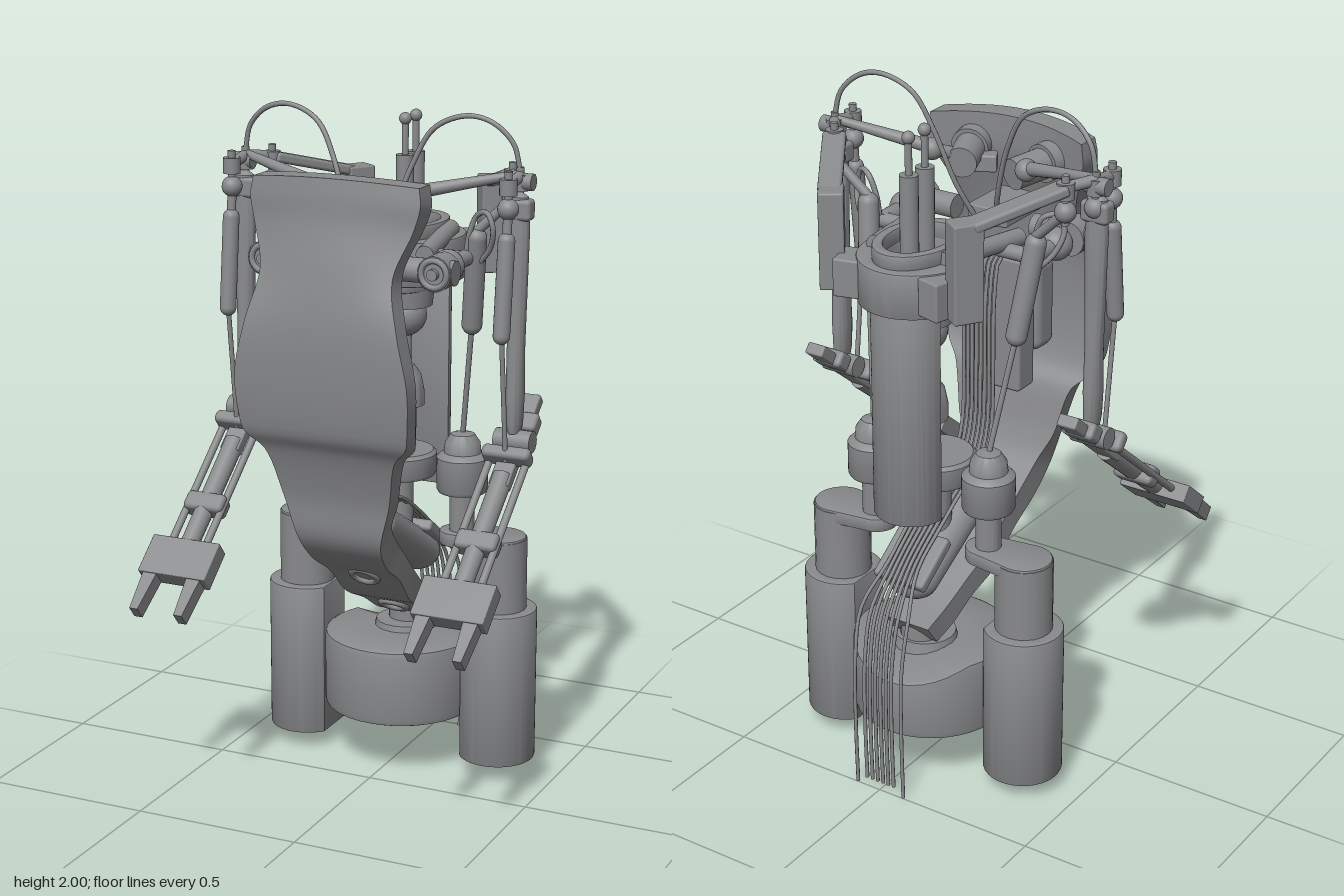
import * as THREE from 'three';
import { toCreasedNormals } from 'three/addons/utils/BufferGeometryUtils.js';
import { RoundedBoxGeometry } from 'three/addons/geometries/RoundedBoxGeometry.js';

const mat = new THREE.MeshStandardMaterial({ color: 0x898a8c });
const V = (x, y, z) => new THREE.Vector3(x, y, z);

export function createModel() {
  const root = new THREE.Group();
  root.name = 'robot';

  // ---- helpers ----
  const add = (name, geo, pos = [0, 0, 0], parent = root) => {
    const m = new THREE.Mesh(geo, mat);
    m.name = name;
    m.position.set(...pos);
    parent.add(m);
    return m;
  };
  const between = (name, geo, a, b, parent = root) => {
    const p = V(...a), q = V(...b);
    const m = add(name, geo, p.clone().lerp(q, 0.5).toArray(), parent);
    m.quaternion.setFromUnitVectors(V(0, 1, 0), q.sub(p).normalize());
    return m;
  };
  const dist = (a, b) => V(...a).distanceTo(V(...b));
  const rod = (name, a, b, ra, rb = ra, parent = root) =>
    between(name, new THREE.CylinderGeometry(rb, ra, dist(a, b), 20), a, b, parent);
  const capsule = (name, a, b, r) => between(name, new THREE.CapsuleGeometry(r, dist(a, b), 8, 20), a, b);
  const ball = (name, pos, r) => add(name, new THREE.SphereGeometry(r, 20, 14), pos);
  const box = (name, size, pos, parent = root, r = 0.006) =>
    add(name, new RoundedBoxGeometry(...size, 2, r), pos, parent);
  const cable = (name, pts, r) =>
    add(name, new THREE.TubeGeometry(new THREE.CatmullRomCurve3(pts.map(p => V(...p))), 48, r, 8));
  const lathe = (name, pts, pos) => add(name,
    toCreasedNormals(new THREE.LatheGeometry(pts.map(p => new THREE.Vector2(...p)), 40), 0.6), pos);
  const ellipse = (rx, rz) => new THREE.Shape().absellipse(0, 0, rx, rz, 0, Math.PI * 2, false, 0);
  const extrudeY = (name, shape, y0, y1, x, z, bevel = 0.006) => {
    const geo = new THREE.ExtrudeGeometry(shape, { depth: y1 - y0 - 2 * bevel, curveSegments: 24,
      bevelSize: bevel, bevelThickness: bevel, bevelOffset: -bevel, bevelSegments: 2 });
    geo.rotateX(-Math.PI / 2);
    return add(name, toCreasedNormals(geo, 0.6), [x, y0 + bevel, z]);
  };

  // ---- front shell: lofted sections, running down into the tail strip ----
  // half width, front y, front z, back y, back z, backward bow of the edges
  const stations = [
    [.25, 1.85, .272, 1.85, .2, .05], [.256, 1.8, .278, 1.79, .2, .05], [.24, 1.73, .283, 1.73, .205, .045],
    [.2, 1.6, .308, 1.6, .24, .025], [.23, 1.45, .328, 1.45, .262, .005], [.262, 1.3, .326, 1.3, .265, 0],
    [.258, 1.18, .313, 1.18, .255, 0], [.248, 1.125, .3, 1.11, .235, 0], [.2, 1.07, .268, 1.06, .2, 0],
    [.165, .93, .225, .92, .165, 0], [.13, .8, .205, .84, .13, 0], [.118, .72, .14, .77, .06, 0],
    [.112, .65, .035, .71, -.01, 0], [.104, .56, -.055, .63, -.1, 0], [.09, .51, -.15, .575, -.18, 0],
    [.08, .455, -.235, .525, -.265, 0], [.075, .43, -.31, .49, -.355, 0]];
  const frontCurve = new THREE.CatmullRomCurve3(stations.map(s => V(s[0], s[1], s[2])));
  const backCurve = new THREE.CatmullRomCurve3(stations.map(s => V(s[5], s[3], s[4])));
  const N = 96, M = 15, R = 2 * M, pos = [], idx = [];
  for (let i = 0; i <= N; i++) {
    const f = frontCurve.getPoint(i / N), b = backCurve.getPoint(i / N);
    for (let j = 0; j < R; j++) {
      const front = j < M, u = (front ? j : R - 1 - j) / (M - 1) * 2 - 1, p = front ? f : b;
      pos.push(u * f.x, p.y - b.x * .35 * u * u, p.z - b.x * u * u);
    }
  }
  for (let i = 0; i < N; i++) for (let j = 0; j < R; j++) {
    const a = i * R + j, b = i * R + (j + 1) % R, c = b + R, d = a + R;
    idx.push(a, d, c, a, c, b);
  }
  for (let j = 0; j < M - 1; j++) {
    const q = [j, j + 1, R - 2 - j, R - 1 - j], e = N * R;
    idx.push(q[0], q[1], q[2], q[0], q[2], q[3]);
    idx.push(e + q[0], e + q[2], e + q[1], e + q[0], e + q[3], e + q[2]);
  }
  const shell = new THREE.BufferGeometry();
  shell.setAttribute('position', new THREE.Float32BufferAttribute(pos, 3));
  shell.setIndex(idx);
  add('frontShell', toCreasedNormals(shell, 0.7));
  [[.65, .035, .8], [.495, -.17, 1]].forEach(([y, z, tilt]) => {
    add('stripRing', new THREE.TorusGeometry(.038, .011, 10, 28), [0, y, z]).rotation.x = tilt;
  });

  // ---- torso box behind the shell ----
  box('shellLiner', [.22, .28, .1], [0, 1.305, .21], root, .03);
  box('torsoBox', [.2, .41, .085], [0, 1.275, .12], root, .012);
  box('torsoBridge', [.13, .05, .2], [0, 1.6, .16]);

  // ---- hip drum, bored from below and sloped at the back ----
  const hip = lathe('hipDrum', [[.11, .36], [.11, .17], [.215, .17], [.226, .175], [.23, .19], [.23, .385],
    [.226, .4], [.215, .407], [.1, .407], [0, .407]], [0, 0, -.225]);
  const hp = hip.geometry.attributes.position;
  for (let i = 0; i < hp.count; i++) {
    const z = hp.getZ(i);
    if (z < -.11 && hp.getY(i) > .3) hp.setY(i, Math.min(hp.getY(i), .4 + (z + .11) * .5));
  }
  rod('drumCeiling', [0, .35, -.225], [0, .37, -.225], .115);
  rod('tailMount', [0, .38, -.26], [0, .425, -.26], .1, .09);
  rod('tailMountNeck', [0, .42, -.28], [0, .47, -.28], .06);

  // ---- tail and trailing cables ----
  capsule('tailCapsule', [0, .8, -.01], [0, .625, -.32], .062).scale.x = 1.3;
  box('cableSaddle', [.17, .035, .17], [0, .685, -.32], root, .01).rotation.x = -.6;
  for (let i = 0; i < 8; i++) {
    const u = i / 3.5 - 1, x = u * .05, e = (i === 0 || i === 7) ? 0 : .025;
    const xe = e ? u * .065 : u * .08;
    cable('trailingCable', [[x, 1.46, .13], [x, 1.49, .1], [x, 1.485, .05], [x, 1.38, .025], [x, 1.15, .02], [x, .97, .01],
      [x, .885, -.03], [x, .845, -.13], [x, .77, -.25], [x, .68, -.37], [xe, .57, -.46], [xe, .42, -.495],
      [xe, .2, -.5], [xe, e, -.495]], .0055);
  }

  // ---- back column, collar and cup ----
  const back = new THREE.Shape().absellipse(0, 0, .105, .1, 0, Math.PI, false, 0);
  extrudeY('backColumn', back, .84, 1.5, 0, -.325);
  const collar = ellipse(.165, .183);
  collar.holes.push(ellipse(.08, .12));
  extrudeY('collar', collar, 1.48, 1.61, 0, -.27);
  const rim = ellipse(.11, .155);
  rim.holes.push(ellipse(.082, .12));
  extrudeY('cupRim', rim, 1.6, 1.65, 0, -.272);
  extrudeY('cupFloor', ellipse(.09, .13), 1.45, 1.5, 0, -.272);
  [-.24, -.315].forEach(z => {
    rod('mastSleeve', [0, 1.46, z], [0, 1.84, z], .026);
    rod('mast', [0, 1.84, z], [0, 1.94, z], .01);
    ball('mastTip', [0, 1.943, z], .018);
  });

  // ---- inner spine ----
  rod('spineHub', [0, 1.4, -.245], [0, 1.49, -.245], .08, .09);
  ball('spineBall', [0, 1.37, -.245], .064);
  rod('spineNeck', [0, 1.2, -.24], [0, 1.34, -.245], .02);
  lathe('spineDisc', [[0, .9], [.11, .9], [.115, .91], [.115, .965], [.105, .975], [0, .975]], [0, 0, -.197]);
  lathe('spineJoint', [[.035, .96], [.037, 1.09], [.06, 1.1], [.06, 1.14], [.05, 1.19], [.03, 1.22], [0, 1.225]], [0, 0, -.24]);
  rod('spineRoot', [0, .7, -.2], [0, .9, -.2], .045);

  // ---- paired parts ----
  for (const s of [-1, 1]) {
    // leg
    const flat = .672;
    const tube = new THREE.Shape().absarc(0, 0, .115, flat, Math.PI * 2 - flat, false);
    tube.closePath();
    tube.holes.push(new THREE.Path().absarc(0, 0, .06, 0, Math.PI * 2, true));
    const leg = extrudeY('legTube', tube, .05, .52, s * .315, -.225);
    if (s > 0) leg.rotation.y = Math.PI;
    rod('legPost', [s * .315, .45, -.225], [s * .315, .735, -.225], .083);
    const link = new THREE.Shape().absarc(.06, 0, .08, -Math.PI / 2, Math.PI / 2, false);
    link.absarc(-.065, 0, .062, Math.PI / 2, Math.PI * 1.5, false);
    link.closePath();
    const bridge = extrudeY('legBridge', link, .7, .742, s * .255, -.225);
    if (s < 0) bridge.rotation.y = Math.PI;
    lathe('legJoint', [[0, .72], [.037, .72], [.037, .85], [.07, .86], [.076, .87], [.076, .965], [.066, .975],
      [.055, .98], [.052, 1.01], [.035, 1.035], [0, 1.045]], [s * .195, 0, -.225]);

    // shoulder box and flat beam
    box('collarWing', [.075, .11, .1], [s * .145, 1.55, -.38]).rotation.y = s * .25;
    box('shoulderBox', [.07, .28, .085], [s * .215, 1.635, -.372]).rotation.y = s * .6;
    box('shoulderBeam', [.066, .03, .28], [s * .3, 1.792, -.25], root, .01).lookAt(s * .375, 1.825, -.135);
    rod('shoulderCross', [s * .375, 1.825, -.135], [s * .425, 1.835, -.065], .016);
    rod('shoulderCross', [s * .425, 1.835, -.065], [s * .425, 1.82, .02], .016);
    [[.375, -.135], [.425, -.065], [.425, .02]].forEach(([x, z]) => {
      rod('jointCap', [s * x, 1.795, z], [s * x, 1.84, z], .025);
      rod('jointStud', [s * x, 1.72, z], [s * x, 1.86, z], .011);
      ball('jointBall', [s * x, 1.757, z], .03);
    });
    rod('shoulderPin', [s * .40, 1.82, -.065], [s * .465, 1.82, -.065], .024);
    box('armYoke', [.085, .06, .05], [s * .425, 1.745, -.055], root, .012);

    // link from shoulder to shell motor
    rod('shoulderLink', [s * .425, 1.84, -.065], [s * .155, 1.785, .02], .012, .02);
    ball('linkBall', [s * .155, 1.78, .02], .032);
    rod('motorNeck', [s * .155, 1.78, .02], [s * .1, 1.75, .09], .018);
    rod('motorBody', [s * .085, 1.74, .06], [s * .12, 1.75, .16], .045);
    rod('motorCap', [s * .12, 1.75, .155], [s * .135, 1.755, .22], .056);
    box('motorBracket', [.08, .05, .05], [s * .07, 1.72, .15]).rotation.y = s * .5;

    // chest pivot
    rod('pivotBar', [s * .11, 1.62, -.32], [s * .16, 1.6, -.02], .026);
    rod('pivotCross', [s * .14, 1.585, -.09], [s * .255, 1.585, -.09], .022);
    rod('pivotShaft', [s * .25, 1.585, -.1], [s * .25, 1.585, .08], .024);
    ball('pivotBulb', [s * .25, 1.585, .025], .047);
    rod('pivotDrum', [s * .26, 1.585, .07], [s * .26, 1.585, .145], .05);
    rod('pivotAxle', [s * .13, 1.585, .107], [s * .31, 1.585, .107], .035);
    add('pivotRing', new THREE.TorusGeometry(.038, .009, 10, 24), [s * .26, 1.585, .144]);
    rod('pivotKnob', [s * .26, 1.585, .14], [s * .26, 1.585, .16], .016);

    // muscle piston down to the leg joint
    rod('muscleStem', [s * .375, 1.755, -.135], [s * .275, 1.66, -.12], .014);
    capsule('muscle', [s * .275, 1.64, -.12], [s * .245, 1.38, -.165], .03);
    rod('muscleRod', [s * .245, 1.38, -.165], [s * .195, 1.03, -.225], .008);

    // upper arm: broad sideways at the top, broad fore and aft at the elbow
    const ax = s * .425;
    const bone = lathe('upperArmBone', [[0, 1.11], [.03, 1.11], [.036, 1.14], [.036, 1.22], [.028, 1.36], [.026, 1.55],
      [.025, 1.68], [.02, 1.78], [0, 1.8]], [ax, 0, -.055]);
    const bp = bone.geometry.attributes.position;
    for (let i = 0; i < bp.count; i++)
      bp.setX(i, bp.getX(i) * THREE.MathUtils.mapLinear(bp.getY(i), 1.15, 1.7, .6, 1.4));
    bone.geometry.computeVertexNormals();
    bone.geometry = toCreasedNormals(bone.geometry, 0.6);
    rod('armPistonStem', [ax, 1.76, .02], [ax, 1.69, .025], .013);
    capsule('armPiston', [ax, 1.67, .028], [ax, 1.41, .055], .024);
    rod('armPistonRod', [ax, 1.42, .055], [ax, 1.04, .01], .007);
    rod('elbowPin', [ax - .055, 1.085, -.055], [ax + .055, 1.085, -.055], .032);

    // forearm, built along local +z
    const arm = new THREE.Group();
    arm.name = 'forearm';
    arm.position.set(ax, 1.18, -.19);
    arm.rotation.x = .69;
    root.add(arm);
    box('forearmBar', [.06, .035, .32], [0, 0, .16], arm);
    rod('forearmCore', [0, 0, .28], [0, 0, .65], .03, .027, arm);
    box('forearmYoke', [.145, .06, .04], [0, .022, .225], arm, .015);
    box('forearmClamp', [.125, .06, .06], [0, 0, .51], arm, .015);
    box('elbowBlock', [.1, .05, .06], [0, .005, .1], arm, .012);
    for (const k of [-1, 1]) {
      rod('forearmRod', [k * .055, .005, .22], [k * .055, .005, .65], .011, .011, arm);
      // tapered finger
      const finger = new THREE.Shape([[-.022, 0], [.022, 0], [.012, .125], [-.014, .125]]
        .map(([x, y]) => new THREE.Vector2(-k * x, y)));
      const fg = new THREE.ExtrudeGeometry(finger, { depth: .044, bevelEnabled: false });
      fg.rotateX(Math.PI / 2).translate(0, .022, 0);
      add('finger', fg, [k * .07, 0, .77], arm);
    }
    box('handBlock', [.215, .054, .126], [0, 0, .71], arm, .003);

    // loose cables
    cable('archCable', [[s * .425, 1.85, -.065], [s * .405, 1.925, -.06], [s * .345, 1.98, -.05], [s * .27, 1.993, -.045],
      [s * .18, 1.955, -.035], [s * .12, 1.85, -.02], [s * .07, 1.7, .01], [s * .03, 1.58, .06]], .0075);
    cable('loopCable', [[s * .25, 1.57, -.1], [s * .26, 1.65, -.1], [s * .285, 1.71, -.1], [s * .32, 1.72, -.085],
      [s * .34, 1.68, -.08], [s * .325, 1.62, -.1], [s * .285, 1.57, -.12]], .008);
  }
  return root;
}
